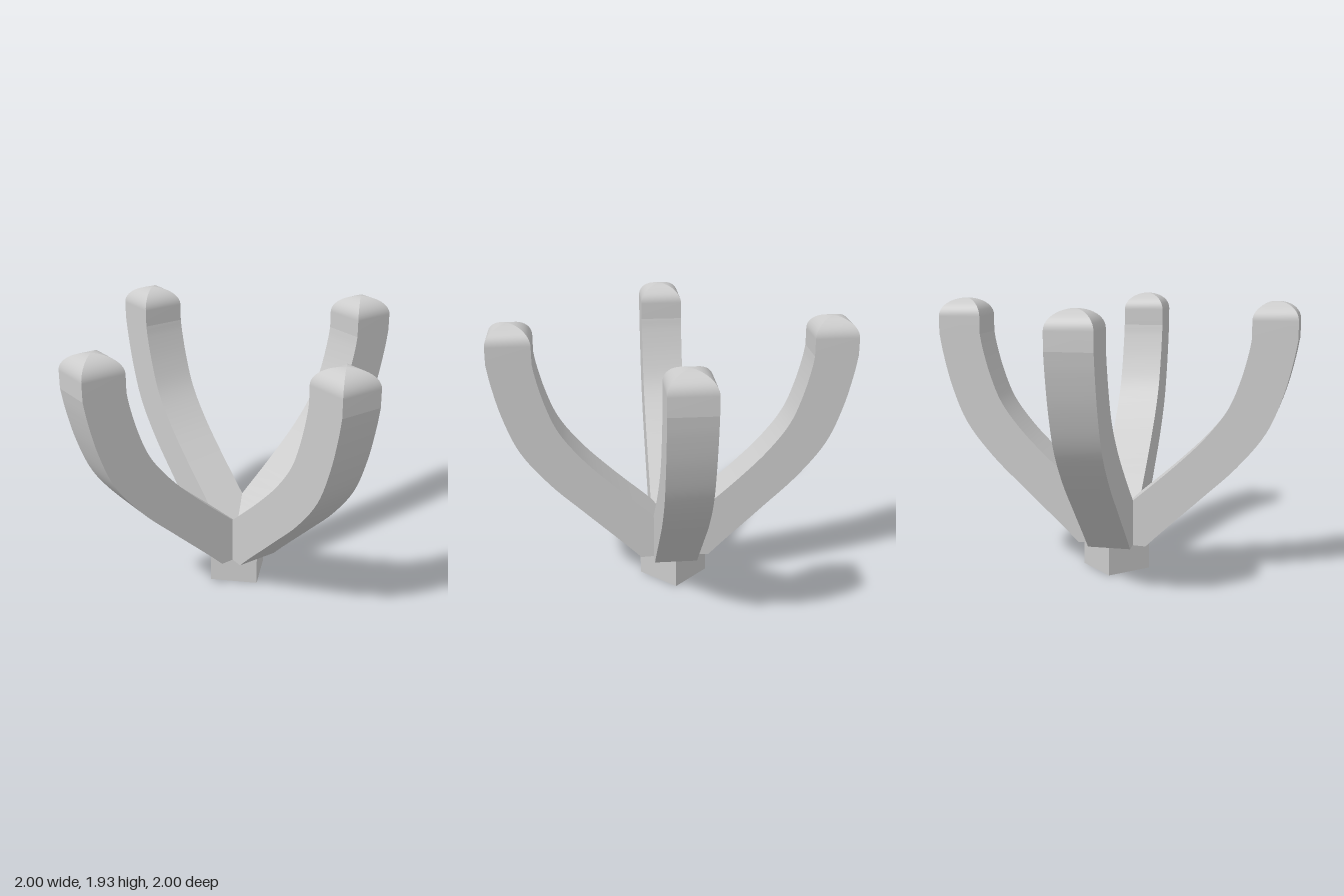
import * as THREE from 'three';

const HALF = 0.152;     // half thickness of an arm
const TIP_R = 1.108;    // distance of each tip from the axis
const ARM_TOP = 1.68;   // height where the curved part ends
const CAP_Y = 1.8;      // height where the rounded tip starts
const CAP_H = 0.127;    // height of the rounded tip
const material = new THREE.MeshStandardMaterial({ color: 0xcccccc, side: THREE.DoubleSide });

const sample = (points, n) =>
  new THREE.CatmullRomCurve3(points.map(([r, y]) => new THREE.Vector3(r, y, 0)), false, 'centripetal').getPoints(n);

// Square cross-sections along the curved arm: outer and inner edge, half width
function armSections() {
  const outer = sample([[0.243, 0.203], [0.347, 0.304], [0.647, 0.584], [0.872, 0.8], [1.068, 1.05], [1.174, 1.305], [1.236, 1.545], [TIP_R + HALF, ARM_TOP]], 35);
  const inner = sample([[0, 0.4], [0.15, 0.53], [0.457, 0.8], [0.657, 1.0], [0.806, 1.2], [0.888, 1.4], [0.942, 1.6], [TIP_R - HALF, ARM_TOP]], 35);
  return outer.map((o, i) => ({ ro: o.x, yo: o.y, ri: inner[i].x, yi: inner[i].y, w: HALF }));
}

// Straight block with a four-sided rounded cap
function tipSections() {
  const level = (w, y) => ({ ro: TIP_R + w, yo: y, ri: TIP_R - w, yi: y, w });
  const sections = [level(HALF, ARM_TOP)];
  const steps = 12;
  for (let i = 0; i <= steps; i++) {
    const a = (i / steps) * Math.PI / 2;
    sections.push(level(HALF * Math.cos(a), CAP_Y + CAP_H * Math.sin(a)));
  }
  return sections;
}

// Four separate strips, smooth along the length and sharp at the corners
function loft(sections) {
  const rings = sections.map(({ ro, yo, ri, yi, w }) => [[-w, yo, ro], [w, yo, ro], [w, yi, ri], [-w, yi, ri]]);
  const positions = [];
  const index = [];
  for (let side = 0; side < 4; side++) {
    const base = positions.length / 3;
    rings.forEach((ring, i) => {
      positions.push(...ring[side], ...ring[(side + 1) % 4]);
      if (i === 0) return;
      const a = base + (i - 1) * 2;
      index.push(a, a + 1, a + 3, a, a + 3, a + 2);
    });
  }
  const geometry = new THREE.BufferGeometry();
  geometry.setAttribute('position', new THREE.Float32BufferAttribute(positions, 3));
  geometry.setIndex(index);
  geometry.computeVertexNormals();
  return geometry;
}

// Wedge closing the underside of an arm back to the axis
function rootGeometry() {
  const shape = new THREE.Shape([[0, 0.213], [0.243, 0.203], [0, 0.4]].map(([r, y]) => new THREE.Vector2(r, y)));
  return new THREE.ExtrudeGeometry(shape, { depth: HALF * 2, bevelEnabled: false })
    .translate(0, 0, -HALF)
    .rotateY(-Math.PI / 2);
}

export function createModel() {
  const model = new THREE.Group();
  model.name = 'fourArmHolder';

  const add = (parent, name, geometry) => {
    const mesh = new THREE.Mesh(geometry, material);
    mesh.name = name;
    parent.add(mesh);
    return mesh;
  };

  // Square foot
  add(model, 'foot', new THREE.BoxGeometry(0.34, 0.21, 0.34)).position.y = 0.105;

  // Four curved arms on the diagonals
  const arm = loft(armSections());
  const tip = loft(tipSections());
  const root = rootGeometry();
  ['frontLeft', 'backLeft', 'backRight', 'frontRight'].forEach((corner, i) => {
    const group = new THREE.Group();
    group.name = `${corner}Arm`;
    add(group, 'armCurve', arm);
    add(group, 'armTip', tip);
    add(group, 'armRoot', root);
    group.rotation.y = Math.PI / 4 + i * Math.PI / 2;
    model.add(group);
  });

  return model;
}
